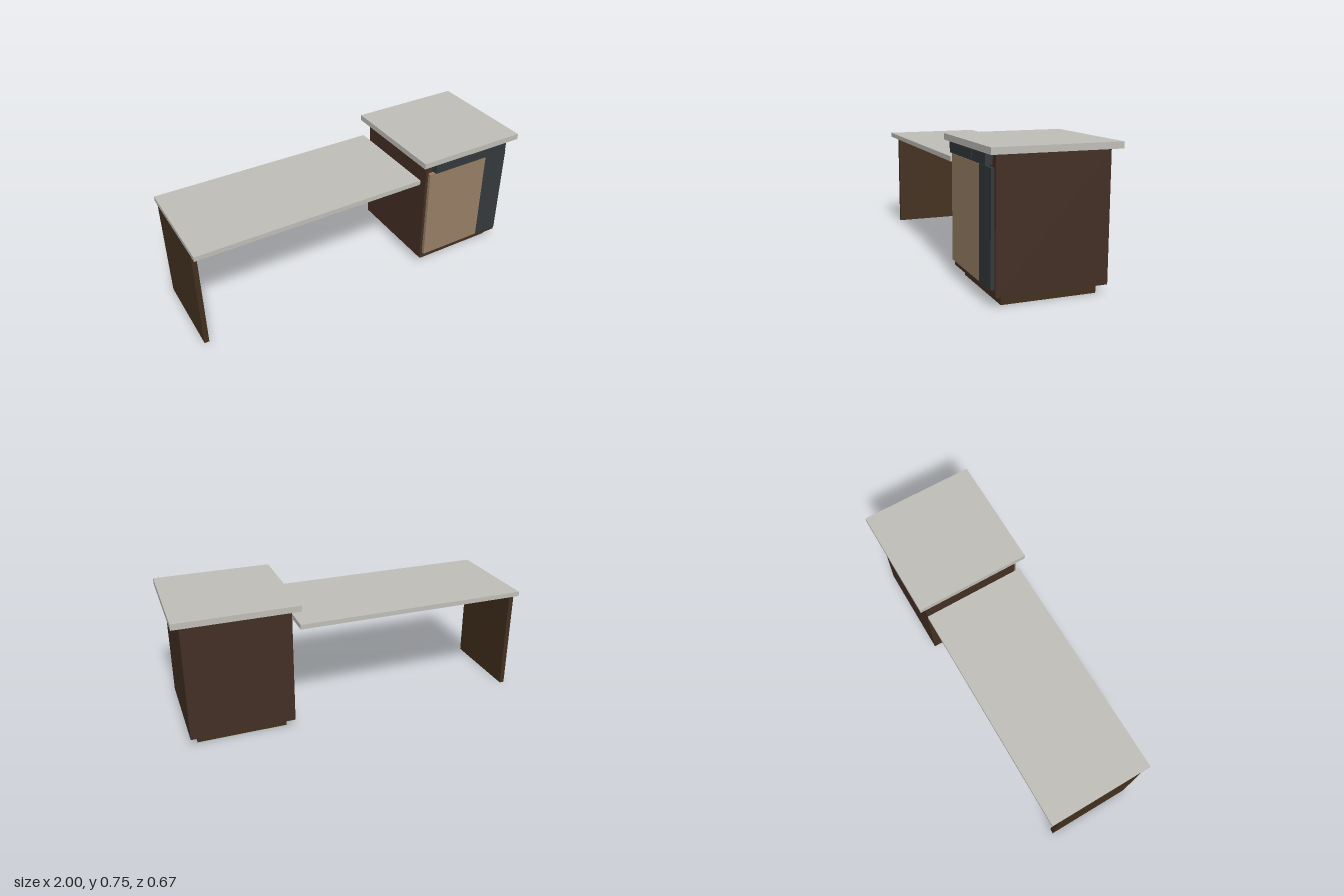
import * as THREE from 'three';

const mat = (color) => new THREE.MeshStandardMaterial({ color });

export function createModel() {
  const model = new THREE.Group();
  model.name = 'desk';
  const stone = mat(0xbebdb7);
  const walnut = mat(0x432f24);
  const darkWood = mat(0x43301f);
  const tan = mat(0x977f65);
  const charcoal = mat(0x34393c);

  // Box given by its extents on each axis
  const box = (name, material, [x0, x1], [y0, y1], [z0, z1], parent = model) => {
    const mesh = new THREE.Mesh(new THREE.BoxGeometry(x1 - x0, y1 - y0, z1 - z0), material);
    mesh.position.set((x0 + x1) / 2, (y0 + y1) / 2, (z0 + z1) / 2);
    mesh.name = name;
    parent.add(mesh);
    return mesh;
  };

  // Low worktop with its end panel leg
  box('lowWorktop', stone, [-1, 0.333], [0.6, 0.627], [-0.3, 0.3]);
  box('endPanelLeg', darkWood, [-1, -0.973], [0, 0.6], [-0.25, 0.25]);

  // Pedestal cabinet
  const cabinet = new THREE.Group();
  cabinet.name = 'cabinet';
  model.add(cabinet);
  box('plinth', darkWood, [0.417, 0.917], [0, 0.05], [-0.25, 0.25], cabinet);
  box('cabinetBody', walnut, [0.375, 0.956], [0.05, 0.717], [-0.292, 0.292], cabinet);
  box('cabinetTop', stone, [0.333, 1], [0.717, 0.75], [-0.333, 0.333], cabinet);

  // Front: door, side panel and drawer rail with its pull plate
  box('door', tan, [0.392, 0.79], [0.085, 0.651], [0.292, 0.311], cabinet);
  box('sidePanel', charcoal, [0.79, 0.941], [0.085, 0.651], [0.292, 0.31], cabinet);
  box('drawerRail', charcoal, [0.417, 0.917], [0.66, 0.717], [0.292, 0.33], cabinet);
  box('pullPlate', charcoal, [0.592, 0.742], [0.67, 0.71], [0.33, 0.332], cabinet);

  return model;
}
